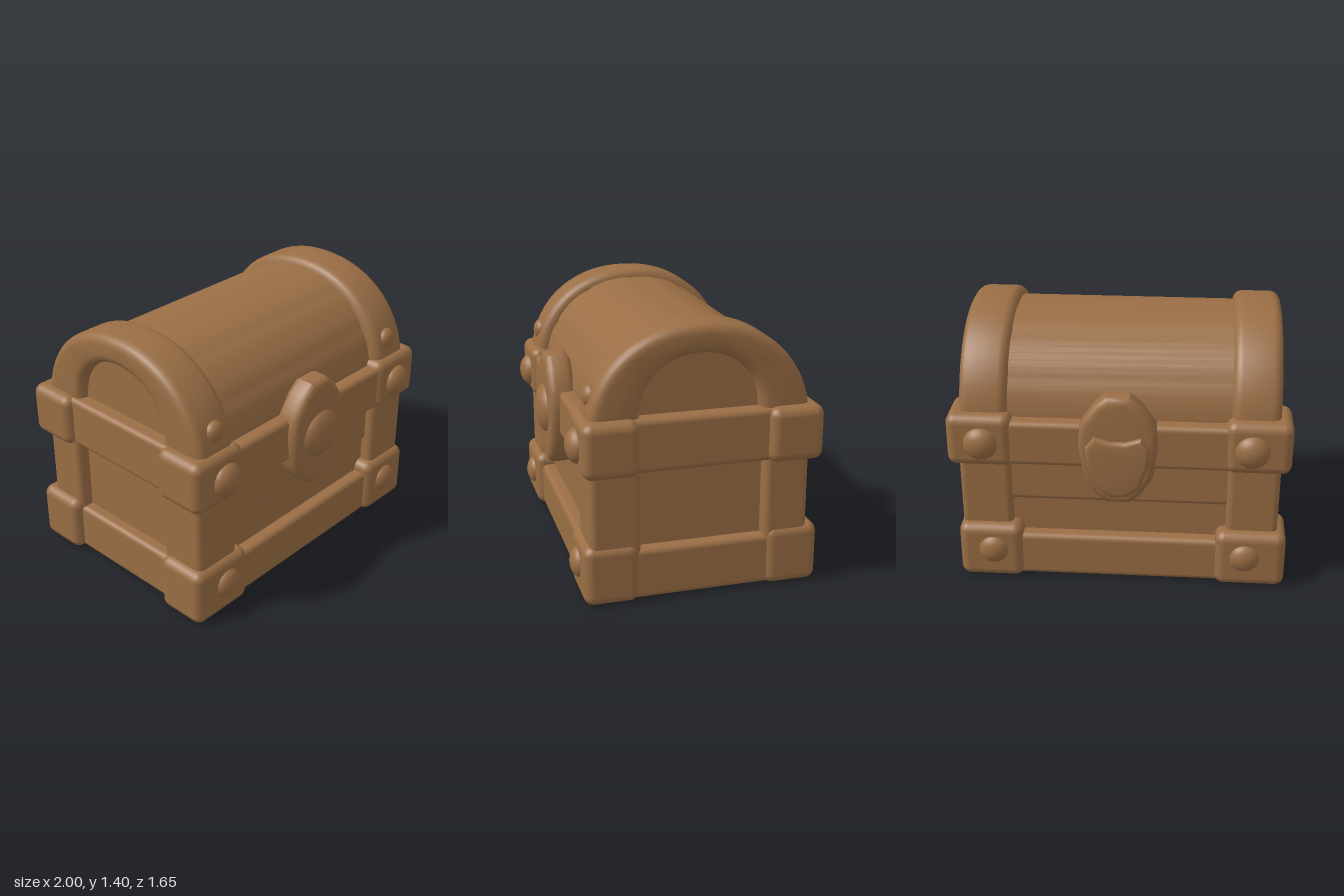
import * as THREE from 'three';
import { toCreasedNormals } from 'three/addons/utils/BufferGeometryUtils.js';
import { RoundedBoxGeometry } from 'three/addons/geometries/RoundedBoxGeometry.js';

export function createModel() {
  const root = new THREE.Group();
  root.name = 'treasureChest';
  const chest = new THREE.Group();
  chest.name = 'chest';
  chest.rotation.y = 0.255; // the chest stands slightly turned
  root.add(chest);

  const brown = new THREE.MeshStandardMaterial({ color: 0x9a6e45 });
  brown.name = 'brown';

  const add = (name, geometry) => {
    const mesh = new THREE.Mesh(geometry, brown);
    mesh.name = name;
    chest.add(mesh);
    return mesh;
  };
  // rounded box given by its limits
  const block = (name, x0, x1, y0, y1, z0, z1, r = 0.03) => {
    const m = add(name, new RoundedBoxGeometry(x1 - x0, y1 - y0, z1 - z0, 3, r));
    m.position.set((x0 + x1) / 2, (y0 + y1) / 2, (z0 + z1) / 2);
    return m;
  };
  // shape extruded with rounded edges that stay inside its outline
  const extrude = (shape, depth, bevel, crease = 0.7) => toCreasedNormals(
    new THREE.ExtrudeGeometry(shape, {
      depth: depth - 2 * bevel, steps: 1,
      bevelEnabled: bevel > 0, bevelSize: bevel, bevelThickness: bevel,
      bevelOffset: -bevel, bevelSegments: 4,
    }).translate(0, 0, bevel), crease);
  // point on a slightly squared ellipse
  const ellipsePoint = (a, rz, ry, cy) => {
    const c = Math.cos(a);
    return new THREE.Vector2(
      rz * Math.sign(c) * Math.abs(c) ** 0.93,
      cy + ry * Math.max(Math.sin(a), 0) ** 0.93);
  };
  // half-ellipse arch standing on straight sides
  const arch = (cls, rz, ry, cy, base, n = 32) => {
    const pts = [new THREE.Vector2(-rz, base), new THREE.Vector2(rz, base)];
    for (let i = 0; i <= n; i++) pts.push(ellipsePoint((Math.PI * i) / n, rz, ry, cy));
    return new cls(pts);
  };

  // body core and planked long walls
  block('bodyCore', -0.765, 0.765, 0.008, 0.9, -0.48, 0.48, 0.02);
  for (const s of [-1, 1]) {
    const wall = (name, y0, y1, depth) =>
      block(name, -0.7, 0.7, y0, y1, s > 0 ? 0.3 : -depth, s > 0 ? depth : -0.3, 0.03);
    wall('lowerPlank', 0.2, 0.48, 0.51);
    wall('upperPlank', 0.44, 0.75, 0.527);
    wall('bottomRail', 0.008, 0.255, 0.58);
    wall('middleBand', 0.68, 0.925, 0.595);
  }

  // lid made of long planks with shallow grooves between them
  const lidPoints = [new THREE.Vector2(-0.525, 0.75), new THREE.Vector2(0.525, 0.75)];
  const planks = 6;
  const per = 6;
  for (let p = 0; p < planks; p++) {
    for (let i = 0; i <= per; i++) {
      const a = (Math.PI * (p + 0.03 + (0.94 * i) / per)) / planks;
      const k = i === 0 || i === per ? 0.99 : 1;
      lidPoints.push(ellipsePoint(a, 0.525 * k, 0.508 * k, 0.85));
    }
  }
  const lid = extrude(new THREE.Shape(lidPoints), 1.52, 0, 0.5);
  add('lid', lid.translate(0, 0, -0.76).rotateY(Math.PI / 2));

  // end hoops over the lid, each framing a recessed arched panel
  const hoopShape = arch(THREE.Shape, 0.572, 0.55, 0.85, 0.69);
  hoopShape.holes.push(arch(THREE.Path, 0.305, 0.3, 0.95, 0.86));
  const hoopGeometry = extrude(hoopShape, 0.25, 0.05);

  // flattened dome rivet
  const rivet = (name, x, y, z, r, bulge) => {
    const m = add(name, new THREE.SphereGeometry(r, 20, 14));
    m.scale.z = bulge / r;
    m.position.set(x, y, z);
  };

  for (const side of [-1, 1]) {
    const hoop = add('lidHoop', hoopGeometry);
    hoop.rotation.y = side * Math.PI / 2;
    hoop.position.set(side * 0.57, 0, 0.01);

    const box = (name, a, b, ...rest) =>
      block(name, side > 0 ? a : -b, side > 0 ? b : -a, ...rest);
    box('endBand', 0.6, 0.84, 0.68, 0.955, -0.5, 0.5);
    box('endBottomRail', 0.6, 0.83, 0.008, 0.275, -0.5, 0.5);

    // posts and corner caps at the four corners
    const footX = side > 0 ? 0.85 : 0.88;
    for (const f of [-1, 1]) {
      const corner = (name, x0, x1, y0, y1, z0, z1, r) =>
        box(name, x0, x1, y0, y1, f > 0 ? z0 : -z1, f > 0 ? z1 : -z0, r);
      corner('cornerPost', 0.562, 0.834, 0.1, 0.85, 0.32, f > 0 ? 0.578 : 0.555, 0.035);
      corner('bottomCorner', 0.51, footX, 0, 0.315, 0.33, 0.612, 0.05);
      corner('bandCorner', 0.545, 0.882, 0.675, 0.96, 0.33, 0.615, 0.05);
      rivet('bandRivet', side * 0.69 + 0.012, 0.81, f * 0.605, 0.09, 0.063);
      rivet('bottomRivet', side * 0.665, 0.175, f * 0.6, 0.08, 0.052);
    }
    rivet('hoopRivet', side * 0.685, 1.05, 0.535, 0.058, 0.042);
  }

  // lock plates on both long sides, from half outlines
  const mirrored = (half) => new THREE.Shape([
    ...half.map(([x, y]) => new THREE.Vector2(x, y)),
    ...half.slice().reverse().map(([x, y]) => new THREE.Vector2(-x, y)),
  ]);
  const plateShape = mirrored([
    [0.055, -0.3], [0.12, -0.25], [0.18, -0.15], [0.205, 0.02], [0.195, 0.14], [0.12, 0.25], [0.06, 0.3],
  ]);
  const frontPlate = add('lockPlate', extrude(plateShape, 0.14, 0.04, 0.6));
  frontPlate.position.set(0, 0.79, 0.505);
  const rearPlate = add('rearPlate', extrude(plateShape, 0.12, 0.04, 0.6));
  rearPlate.rotation.y = Math.PI;
  rearPlate.position.set(0, 0.79, -0.51);

  // round knob on the front
  const knobProfile = [[0.14, -0.03], [0.135, 0.005], [0.105, 0.035], [0.06, 0.05], [0, 0.055]]
    .map(([r, y]) => new THREE.Vector2(r, y));
  const knob = add('lockKnob', new THREE.LatheGeometry(knobProfile, 28));
  knob.rotation.x = Math.PI / 2;
  knob.position.set(0, 0.785, 0.635);

  // raised shield on the rear plate
  const shield = mirrored([
    [0.04, -0.25], [0.11, -0.2], [0.16, -0.07], [0.165, 0.03], [0.12, 0.09], [0.04, 0.065],
  ]);
  const rear = add('rearShield', extrude(shield, 0.07, 0.025, 0.6));
  rear.rotation.y = Math.PI;
  rear.position.set(0, 0.79, -0.585);

  return root;
}
